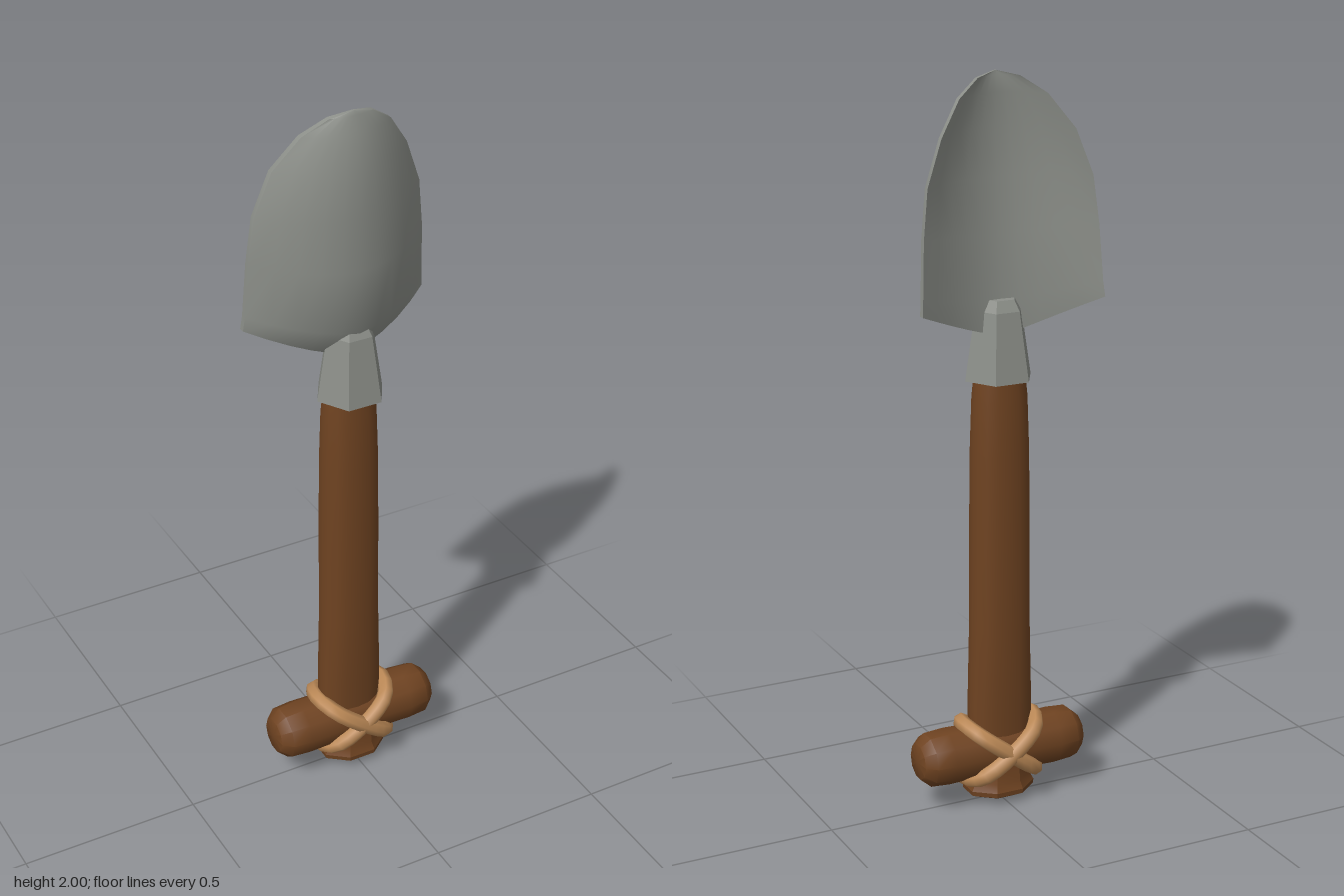
import * as THREE from 'three';
import { toCreasedNormals } from 'three/addons/utils/BufferGeometryUtils.js';

const steel = new THREE.MeshStandardMaterial({ color: 0x8c8f89 });
steel.name = 'steel';
const wood = new THREE.MeshStandardMaterial({ color: 0x6f4321 });
wood.name = 'wood';
const rope = new THREE.MeshStandardMaterial({ color: 0xbd8a57 });
rope.name = 'rope';

function mesh(name, geometry, material) {
  const m = new THREE.Mesh(geometry, material);
  m.name = name;
  return m;
}

// Turned shape from [radius, height] pairs, listed bottom to top
function turned(profile, sides, crease, phase = 0) {
  const pts = profile.map(([r, y]) => new THREE.Vector2(r, y));
  return toCreasedNormals(new THREE.LatheGeometry(pts, sides, phase), crease);
}

// Radius factor that turns a circle into a rounded square
function squareness(angle, power) {
  const c = Math.abs(Math.cos(angle)), s = Math.abs(Math.sin(angle));
  return Math.pow(c ** power + s ** power, -1 / power);
}

// Scooped blade: front and back skins joined by a rim
function bladeGeometry() {
  // edge height, centre height, half width, centre z, edge z, centre thickness
  const rows = [
    [1.41, 1.318, 0.262, 0.0, -0.085, 0.024],
    [1.45, 1.405, 0.258, 0.054, -0.08, 0.074],
    [1.6, 1.58, 0.25, 0.06, -0.07, 0.064],
    [1.73, 1.73, 0.235, 0.061, -0.062, 0.053],
    [1.85, 1.86, 0.19, 0.055, -0.05, 0.04],
    [1.94, 1.945, 0.125, 0.038, -0.018, 0.027],
    [1.985, 1.988, 0.06, 0.024, 0.008, 0.014],
    [2.0, 2.0, 0, 0.02, 0.02, 0.006],
  ];
  const cols = 10, n = cols + 1, back = rows.length * n;
  const positions = [], index = [];
  for (const side of [0, 1]) {
    for (const [ye, yc, hw, zc, ze, th] of rows) {
      for (let c = 0; c <= cols; c++) {
        const u = (c / cols) * 2 - 1, a = Math.abs(u);
        const thick = THREE.MathUtils.lerp(th, Math.min(th, 0.016), a ** 2.6);
        positions.push(u * hw, yc + (ye - yc) * a ** 1.25, zc + (ze - zc) * u * u - side * thick);
      }
    }
  }
  for (let r = 0; r < rows.length - 1; r++) {
    for (let c = 0; c < cols; c++) {
      const a = r * n + c, b = a + 1, d = a + n, e = d + 1;
      index.push(a, b, e, a, e, d);
      index.push(back + a, back + e, back + b, back + a, back + d, back + e);
    }
  }
  const loop = [];
  for (let c = 0; c <= cols; c++) loop.push(c);
  for (let r = 1; r < rows.length; r++) loop.push(r * n + cols);
  for (let r = rows.length - 1; r > 0; r--) loop.push(r * n);
  loop.forEach((p, i) => {
    const q = loop[(i + 1) % loop.length];
    index.push(q, p, back + p, q, back + p, back + q);
  });
  const g = new THREE.BufferGeometry();
  g.setAttribute('position', new THREE.Float32BufferAttribute(positions, 3));
  g.setIndex(index);
  return toCreasedNormals(g, 0.7);
}

// Shaft with a rounded-square section, flatter in depth and towards the foot
function shaftGeometry() {
  const profile = [[0.087, 0.1], [0.089, 0.28], [0.082, 0.5], [0.08, 0.8], [0.078, 1.0], [0.073, 1.15], [0.067, 1.21]];
  const g = turned(profile, 16, 0.8);
  const p = g.attributes.position;
  for (let i = 0; i < p.count; i++) {
    const x = p.getX(i), y = p.getY(i), z = p.getZ(i);
    const k = squareness(Math.atan2(z, x), 2.7);
    const depth = THREE.MathUtils.lerp(0.57, 0.81, THREE.MathUtils.smoothstep(y, 0.1, 0.6));
    p.setXYZ(i, x * k - 0.004, y, z * k * depth);
  }
  return toCreasedNormals(g, 0.8);
}

// Closed cord around the joint, leaning to one side
function lashingGeometry(side, depth) {
  const pts = [];
  for (let i = 0; i < 8; i++) {
    const a = (i / 8) * Math.PI * 2, k = squareness(a, 2.5);
    const along = k * Math.cos(a);
    pts.push(new THREE.Vector3(side * 0.103 * along, 0.152 + 0.077 * along, depth * k * Math.sin(a)));
  }
  return new THREE.TubeGeometry(new THREE.CatmullRomCurve3(pts, true), 24, 0.023, 7, true);
}

export function createModel() {
  const group = new THREE.Group();
  group.name = 'trowel';

  group.add(mesh('blade', bladeGeometry(), steel));

  // Six-sided socket with a bevelled top
  group.add(mesh('socket', turned(
    [[0, 1.2], [0.096, 1.2], [0.067, 1.385], [0.05, 1.415], [0, 1.415]],
    6, 0.3, Math.PI / 6), steel));

  group.add(mesh('shaft', shaftGeometry(), wood));

  // Flared foot of the shaft
  const foot = mesh('foot', turned(
    [[0, 0.002], [0.06, 0.01], [0.1, 0.027], [0.102, 0.04], [0.09, 0.062], [0.085, 0.13]], 8, 0.6, Math.PI / 8), wood);
  foot.scale.z = 0.8;
  group.add(foot);

  // Crossbar with rounded ends
  const bar = mesh('crossbar', turned(
    [[0, -0.246], [0.05, -0.242], [0.074, -0.215], [0.078, -0.16], [0.074, 0],
      [0.078, 0.16], [0.074, 0.215], [0.05, 0.242], [0, 0.246]], 10, 0.8), wood);
  bar.rotation.z = Math.PI / 2;
  bar.position.y = 0.148;
  group.add(bar);

  // Crossed lashing
  group.add(mesh('lashingLeft', lashingGeometry(1, 0.083), rope));
  group.add(mesh('lashingRight', lashingGeometry(-1, 0.086), rope));

  return group;
}
